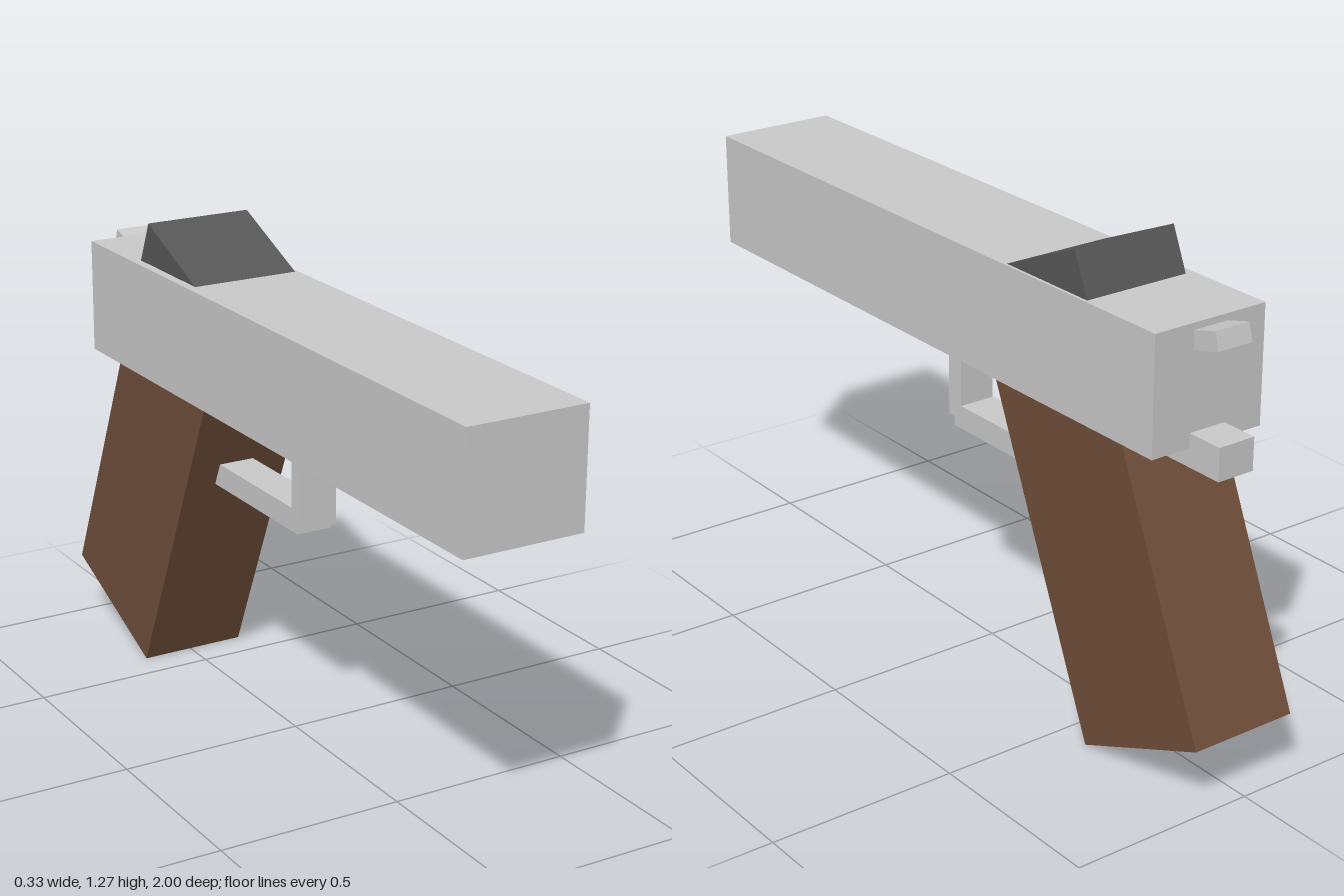
import * as THREE from 'three';

export function createModel() {
  const model = new THREE.Group();
  const material = (name, color) => {
    const m = new THREE.MeshStandardMaterial({ color });
    m.name = name;
    return m;
  };
  const steel = material('light steel', 0xc9c9c9);
  const wood = material('brown grip', 0x704e3a);
  const dark = material('dark grey', 0x575757);

  const box = (name, mat, size, pos, parent = model) => {
    const mesh = new THREE.Mesh(new THREE.BoxGeometry(...size), mat);
    mesh.name = name;
    mesh.position.set(...pos);
    parent.add(mesh);
    return mesh;
  };

  // Long square slide
  box('slide', steel, [0.327, 0.306, 1.82], [0, 1.01, 0.09]);

  // Raked grip and the dark block that continues it through the slide
  const handle = new THREE.Group();
  handle.name = 'handle';
  handle.position.set(0.008, 0.091, -0.794);
  handle.rotation.x = 0.408;
  model.add(handle);
  box('grip', wood, [0.295, 1.0, 0.441], [0, 0.5, 0], handle);
  box('topBlock', dark, [0.295, 0.193, 0.441], [0, 1.0965, 0], handle);

  // Trigger guard
  box('guardFront', steel, [0.1, 0.265, 0.052], [0, 0.748, 0.092]);
  box('guardBottom', steel, [0.1, 0.063, 0.475], [0, 0.622, -0.1425]);

  // Rear tang under the slide
  box('tang', steel, [0.104, 0.085, 0.25], [0, 0.852, -0.797]);

  // Tilted hammer
  const hammer = box('hammer', steel, [0.1, 0.047, 0.13], [0, 1.125, -0.835]);
  hammer.rotation.x = 0.27;

  return model;
}
